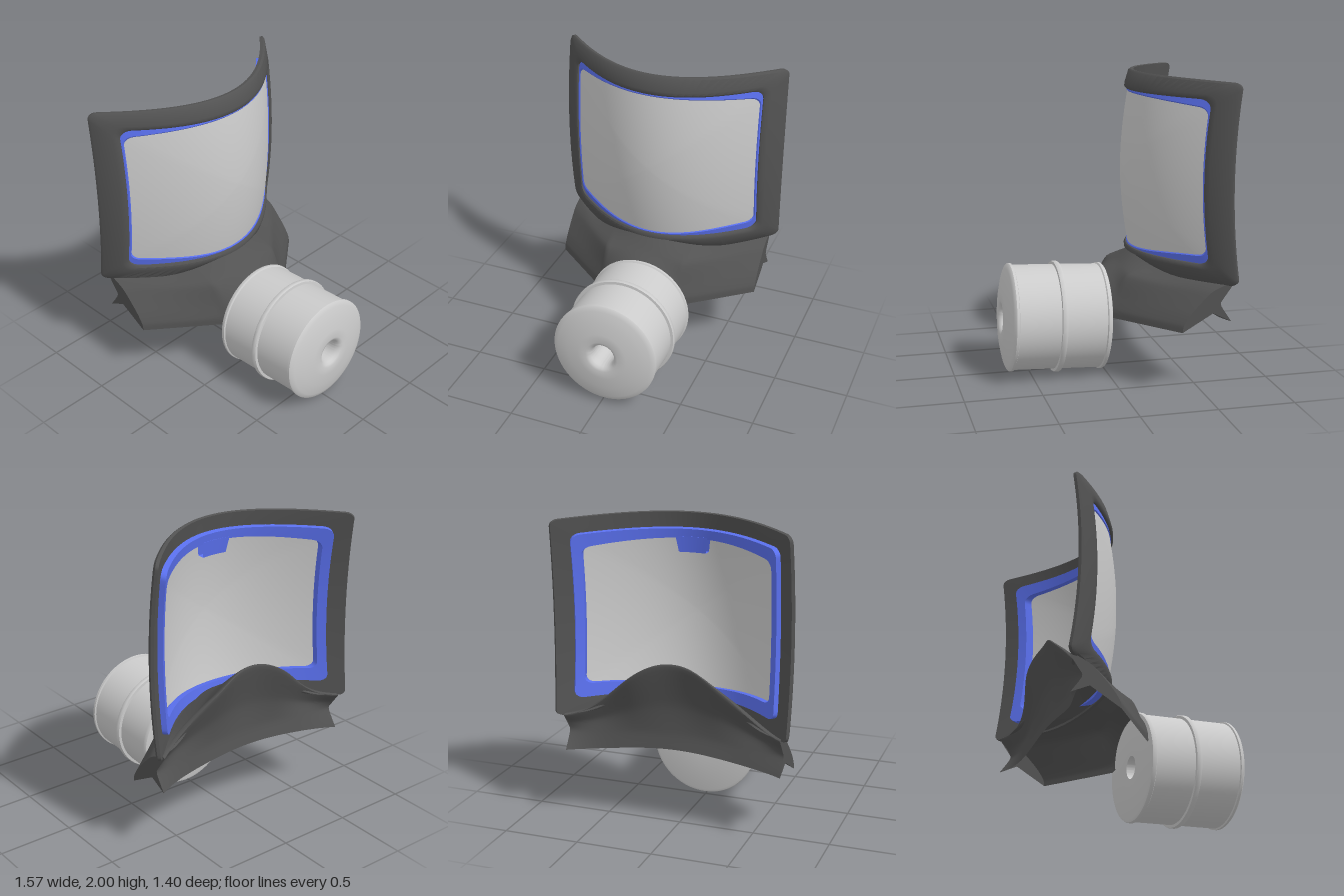
import * as THREE from 'three';
import { toCreasedNormals } from 'three/addons/utils/BufferGeometryUtils.js';

const mat = (color) => new THREE.MeshStandardMaterial({ color, side: THREE.DoubleSide });
const rubber = mat(0x525252), blue = mat(0x5a70ee), grey = mat(0xcccccc);

// Skin a list of equally long rows of points; closed rows wrap around.
function loft(rows, crease, closed = true) {
  const n = rows[0].length, index = [];
  const g = new THREE.BufferGeometry().setFromPoints(rows.flat());
  for (let i = 0; i < rows.length - 1; i++) {
    for (let j = 0; j < (closed ? n : n - 1); j++) {
      const k = (j + 1) % n, a = i * n, b = a + n;
      index.push(a + j, a + k, b + k, a + j, b + k, b + j);
    }
  }
  g.setIndex(index);
  return toCreasedNormals(g, crease);
}

// Place (x, y) on the curved visor, offset d along its normal.
function onVisor(x, y, d) {
  const v = (y - 1.35) / 0.6;
  const n = new THREE.Vector3(1.72 * x - 0.52 * x ** 3, 0.18 * v, 1).normalize();
  return new THREE.Vector3(x, y, -0.145 - 0.86 * x * x + 0.13 * x ** 4 - 0.055 * v * v).addScaledVector(n, d);
}

// Rounded rectangle loop wrapped on the visor; top, foot and side bow its edges.
function visorLoop({ w, lo, hi, r, d, top = 0, foot = 0, side = 0, footWidth = w, scale = 1 }) {
  const flat = [], mid = (lo + hi) / 2, h = (hi - lo) / 2;
  for (const [sx, sy, start] of [[1, 1, 0], [-1, 1, 1], [-1, -1, 2], [1, -1, 3]]) {
    for (let i = 0; i <= 6; i++) {
      const a = (start + i / 6) * Math.PI / 2;
      flat.push([sx * (w - r) + r * Math.cos(a), mid + sy * (h - r) + r * Math.sin(a)]);
    }
  }
  const pts = [];
  flat.forEach(([x, y], i) => {
    const [x2, y2] = flat[(i + 1) % flat.length];
    const steps = i % 7 === 6 ? 28 : 1;
    for (let s = 0; s < steps; s++) {
      const px = x + (x2 - x) * s / steps, py = y + (y2 - y) * s / steps;
      const v = (py - mid) / h;
      const bow = v > 0 ? top * Math.max(0, 1 - (px / w) ** 2)
        : foot * Math.max(0, 1 - (px / footWidth) ** 2) ** 2;
      const qx = px + Math.sign(px) * side * Math.max(0, 1 - v * v) * Math.min(1, Math.abs(px) / w);
      const qy = py + bow * Math.abs(v);
      pts.push(onVisor(qx * scale, mid + (qy - mid) * scale, d));
    }
  });
  return pts;
}

// Section of the lower mask at x, from the back lip over the nose cup to the front hem.
function maskRow(x) {
  const t = Math.abs(x) / 0.72, mix = THREE.MathUtils.lerp;
  const bell = 0.5 - 0.5 * Math.cos(Math.PI * t), hump = bell ** 1.15;
  const arch = 0.5 - 0.5 * Math.cos(Math.PI * Math.min(1, t / 0.75));
  const front = Math.max(0, (Math.abs(x) - 0.28) / 0.44);
  const back = t ** 5, wave = -0.035 * Math.sin(2 * Math.PI * t) * Math.min(1, 2.5 * t);
  const shoulder = mix(0.725, 0.66, arch);
  const hem = Math.max(0.415, 0.36 + Math.sqrt(Math.max(0, 0.29 ** 2 - x * x)));
  const pts = [
    [mix(-0.58, -0.67, back), mix(0.53, 0.47, bell)],
    [mix(-0.56, -0.60, back), mix(0.64, 0.58, bell)],
    [mix(-0.56, -0.62, back) + wave / 2, mix(0.82, 0.64, hump)],
    [mix(-0.62, -0.68, back) + wave, mix(1.09, 0.71, hump)],
    [mix(-0.58, -0.66, back) + wave, mix(1.08, 0.72, hump)],
    [mix(-0.40, -0.64, bell), mix(0.92, 0.715, bell)],
    [mix(-0.215, -0.62, t * t), mix(0.80, 0.705, arch)],
    [mix(-0.11, -0.53, front), shoulder],
    [mix(-0.04, -0.41, front), mix(shoulder, hem, 0.5)],
    [mix(0, -0.36, front), mix(shoulder, hem, 0.8)],
    [mix(0.005, -0.35, front), hem],
  ].map(([z, y]) => new THREE.Vector3(x, y, z));
  return new THREE.CatmullRomCurve3(pts, false, 'catmullrom', 0.35).getPoints(60);
}

export function createModel() {
  const model = new THREE.Group();
  const add = (name, geometry, material) => {
    const mesh = new THREE.Mesh(geometry, material);
    mesh.name = name;
    model.add(mesh);
    return mesh;
  };

  // Dark frame around the visor
  const outer = (inset, d) => visorLoop({
    w: 0.783 - inset, lo: 0.705 + inset, hi: 1.975 - inset, r: 0.04, d,
    top: 0.022, foot: 0.08, footWidth: 0.5, side: 0.01 });
  const inner = (grow, d) => visorLoop({
    w: 0.66 + grow, lo: 0.825 - grow, hi: 1.865 + grow, r: 0.06, d, top: 0.005 });
  add('visorFrame', loft([
    outer(0, -0.03), outer(0, -0.01), outer(0.012, 0.002), inner(0.03, 0.012), inner(0.01, 0.01),
    inner(0, 0), inner(0, -0.035), outer(0, -0.03),
  ], 0.7), rubber);

  // Blue seal behind the frame, gripping the lens edge
  const seal = (w, lo, hi, d, bow = 0.02) => visorLoop({ w, lo, hi, r: 0.05, d, top: bow, foot: -bow });
  add('lensSeal', loft([
    seal(0.71, 0.81, 1.88, -0.07), seal(0.7, 0.81, 1.88, -0.012), seal(0.652, 0.875, 1.815, -0.008, 0.045),
    seal(0.645, 0.885, 1.805, -0.02, 0.045), seal(0.645, 0.895, 1.795, -0.03, 0.045),
    seal(0.665, 0.895, 1.795, -0.07, 0.045), seal(0.71, 0.81, 1.88, -0.07),
  ], 0.6), blue);

  // Tab hanging from the seal on the inside
  const edge = (y, d, s) => Array.from({ length: 9 }, (_, i) => onVisor((-0.12 + i * 0.03) * s, y, d));
  add('sealTab', loft([
    edge(1.85, -0.03, 1), edge(1.85, -0.072, 1), edge(1.745, -0.072, 0.85), edge(1.745, -0.03, 0.85),
    edge(1.85, -0.03, 1),
  ], 0.5, false), blue);

  // Curved lens
  const lens = [];
  for (let i = 0; i <= 20; i++) {
    lens.push(visorLoop({ w: 0.652, lo: 0.88, hi: 1.81, r: 0.05, d: -0.003 - 0.012 * (1 - i / 20),
      top: 0.05, foot: -0.05, scale: Math.max(0.0005, 1 - i / 20) }));
  }
  add('lens', loft(lens, 0.8), grey);

  // Lower mask: a sheet open below, with a raised nose cup behind and flat cheeks
  const sections = [];
  for (let i = 0; i <= 72; i++) sections.push(maskRow(-0.72 + i * 0.02));
  const cheek = (row) => row.map(() => new THREE.Vector3(row[0].x, 0.53, -0.55));
  add('lowerMask', loft([cheek(sections[0]), ...sections, cheek(sections[72])], 0.7, false), rubber);

  // Filter canister with rims, middle band and a bore through its axis
  const profile = [
    [0.075, 0], [0.335, 0], [0.352, 0.006], [0.357, 0.015], [0.357, 0.03], [0.348, 0.036],
    [0.348, 0.3], [0.366, 0.302], [0.37, 0.308], [0.37, 0.33], [0.366, 0.336], [0.348, 0.338],
    [0.348, 0.612], [0.358, 0.616], [0.358, 0.632], [0.35, 0.64], [0.325, 0.65], [0.25, 0.668],
    [0.17, 0.68], [0.112, 0.685], [0.095, 0.679], [0.083, 0.665], [0.077, 0.645], [0.075, 0.62], [0.075, 0],
  ].map(([r, y]) => new THREE.Vector2(r, y));
  const canister = add('filterCanister',
    toCreasedNormals(new THREE.LatheGeometry(profile, 72).rotateX(Math.PI / 2), 0.6), grey);
  canister.position.set(0.016, 0.356, 0.005);
  canister.rotation.x = -0.045;

  return model;
}
